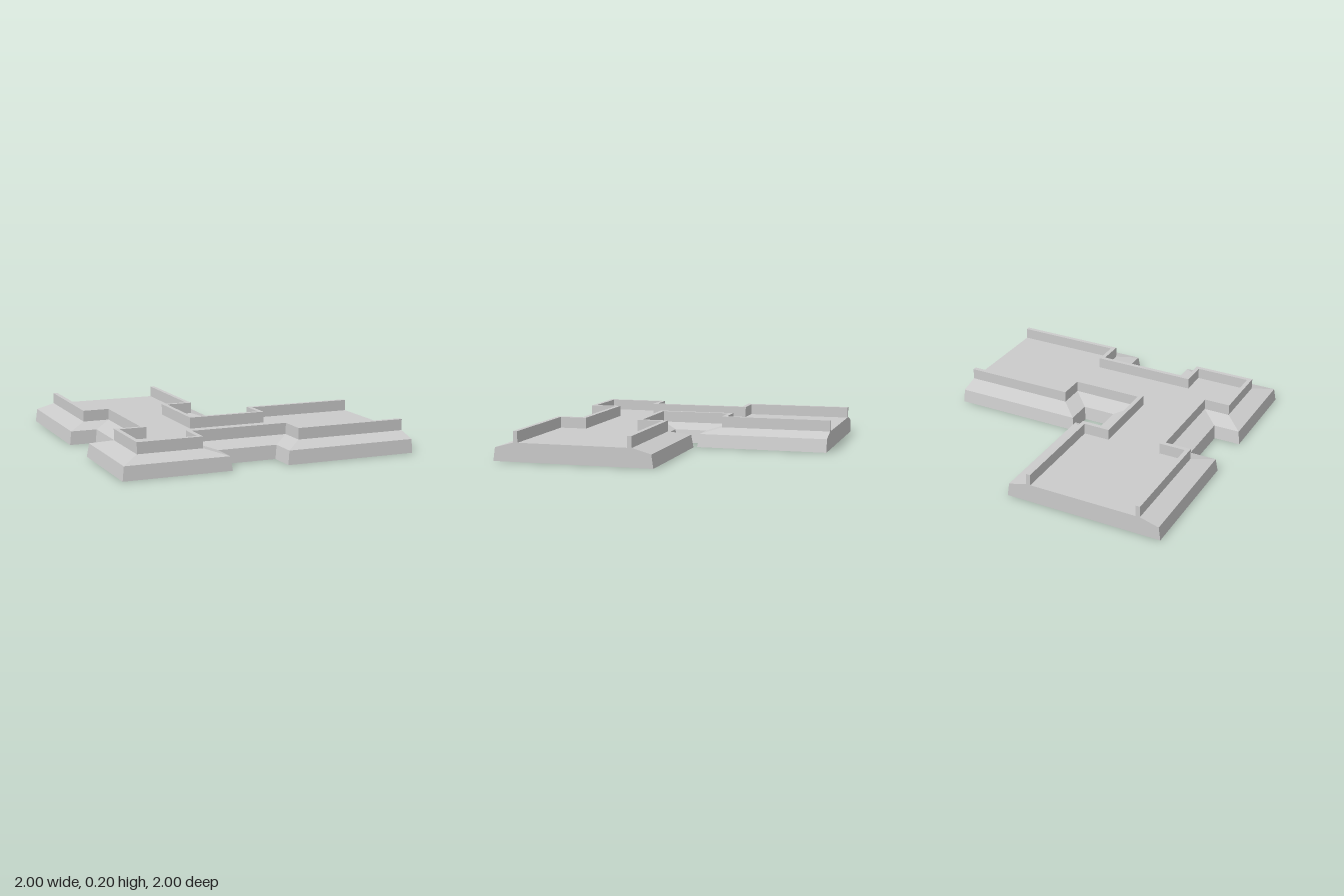
import * as THREE from 'three';

// Ground outlines [x, z], walked with the floor on the inner side
const OUTER = [[-1, -1], [-1, -0.1], [-0.82, -0.1], [-0.82, 0.28], [-1, 0.28], [-1, 1],
  [-0.285, 1], [-0.285, 0.815], [0.095, 0.815], [0.095, 1], [1, 1]];
const INNER = [[1, -0.08], [0.095, -0.08], [0.095, 0.1], [-0.105, 0.1], [-0.105, -0.1],
  [0.075, -0.1], [0.075, -1]];

// Edge profile [inset, height]: skirt, sloped ledge, parapet down to the floor
const PROFILE = [[0, 0], [0.013, 0.09], [0.14, 0.125], [0.14, 0.2], [0.17, 0.2], [0.17, 0.125]];
const FLOOR_Y = 0.125;

const material = new THREE.MeshStandardMaterial({
  color: 0xcccccc, flatShading: true, side: THREE.DoubleSide,
});

function addMesh(group, name, geometry) {
  const mesh = new THREE.Mesh(geometry, material);
  mesh.name = name;
  group.add(mesh);
}

// Moves a right-angled outline inwards, keeping mitred corners
function inset(line, d) {
  const normal = (i) => {
    if (i < 0 || i >= line.length - 1) return [0, 0];
    const dx = line[i + 1][0] - line[i][0];
    const dz = line[i + 1][1] - line[i][1];
    return [Math.sign(dz), -Math.sign(dx)];
  };
  return line.map(([x, z], i) => {
    const a = normal(i - 1), b = normal(i);
    return [x + d * (a[0] + b[0]), z + d * (a[1] + b[1])];
  });
}

// Skins a run of profile points along an outline
function sweep(line, profile) {
  const rows = profile.map(([d, y]) => inset(line, d).map(([x, z]) => [x, y, z]));
  const pos = [];
  for (let j = 0; j < rows.length - 1; j++) {
    for (let i = 0; i < line.length - 1; i++) {
      const a = rows[j][i], b = rows[j][i + 1], c = rows[j + 1][i + 1], d = rows[j + 1][i];
      pos.push(...a, ...b, ...c, ...a, ...c, ...d);
    }
  }
  const geometry = new THREE.BufferGeometry();
  geometry.setAttribute('position', new THREE.Float32BufferAttribute(pos, 3));
  geometry.computeVertexNormals();
  return geometry;
}

function polygon(points) {
  return new THREE.ShapeGeometry(new THREE.Shape(points.map(([x, y]) => new THREE.Vector2(x, y))));
}

// Cross-section between two edges that face each other
function endCap(lowEdge, highEdge) {
  const low = PROFILE.map(([d, y]) => [lowEdge + d, y]);
  const high = PROFILE.map(([d, y]) => [highEdge - d, y]).reverse();
  return polygon([...low, ...high].map(([u, y]) => [-u, y]));
}

export function createModel() {
  const group = new THREE.Group();
  group.name = 'rampartCorner';

  // Edges of both sides
  for (const [side, line] of [['outer', OUTER], ['inner', INNER]]) {
    addMesh(group, side + 'Skirt', sweep(line, PROFILE.slice(0, 2)));
    addMesh(group, side + 'Ledge', sweep(line, PROFILE.slice(1, 3)));
    addMesh(group, side + 'Parapet', sweep(line, PROFILE.slice(2)));
  }

  // Walkway floor between the parapets; the underside stays open
  const outline = [...inset(OUTER, 0.17), ...inset(INNER, 0.17)];
  const floor = polygon(outline.map(([x, z]) => [x, -z]));
  floor.rotateX(-Math.PI / 2).translate(0, FLOOR_Y, 0);
  addMesh(group, 'walkwayFloor', floor);

  // Cut ends of the two arms
  addMesh(group, 'sideArmEnd', endCap(-0.08, 1).rotateY(Math.PI / 2).translate(1, 0, 0));
  addMesh(group, 'backArmEnd', endCap(-1, 0.075).rotateY(Math.PI).translate(0, 0, -1));

  return group;
}
